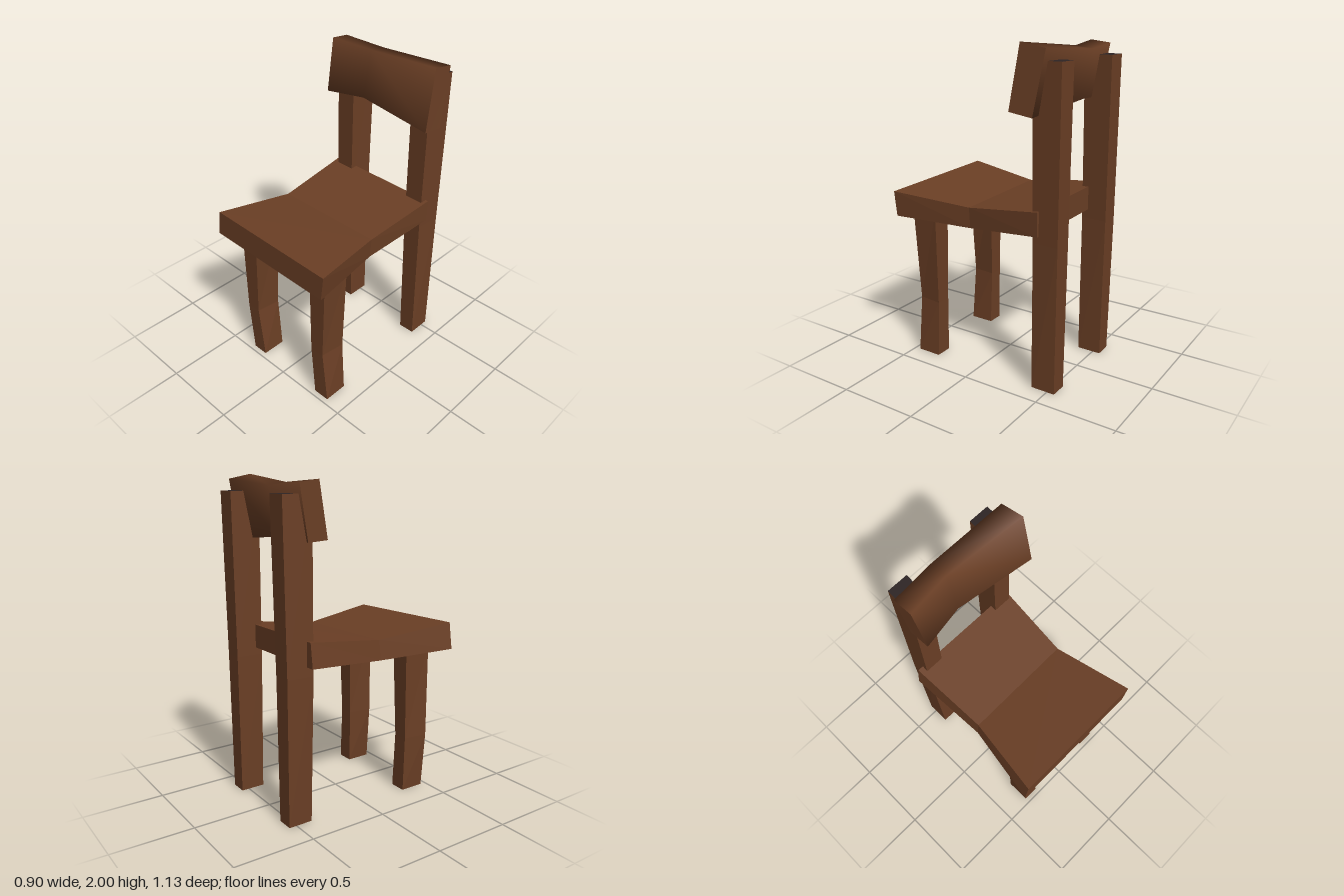
import * as THREE from 'three';

// Skins a list of four-cornered sections; corners run counter-clockwise seen from the last section.
// Group 0 is the sides, group 1 the two end caps.
function loft(sections, smooth) {
  const pts = sections.flat();
  const index = [];
  const last = pts.length - 4;
  for (let s = 0; s < last; s += 4) {
    for (let i = 0; i < 4; i++) {
      const a = s + i, b = s + (i + 1) % 4;
      index.push(a, b, b + 4, a, b + 4, a + 4);
    }
  }
  const sides = index.length;
  // end caps use their own corners so that their edges stay sharp
  const n = pts.length;
  pts.push(...sections[0], ...sections[sections.length - 1]);
  index.push(n, n + 2, n + 1, n, n + 3, n + 2);
  index.push(n + 4, n + 5, n + 6, n + 4, n + 6, n + 7);

  let geo = new THREE.BufferGeometry();
  geo.setAttribute('position', new THREE.Float32BufferAttribute(pts.flat(), 3));
  geo.setIndex(index);
  geo.addGroup(0, sides, 0);
  geo.addGroup(sides, 12, 1);
  if (!smooth) geo = geo.toNonIndexed();
  geo.computeVertexNormals();
  return geo;
}

// Horizontal leg section, its rear edge shifted sideways by skew
const legSection = ([y, x0, x1, front, back, skew]) => [
  [x0, y, front], [x1, y, front], [x1 + skew, y, back], [x0 + skew, y, back],
];

export function createModel() {
  const wood = new THREE.MeshStandardMaterial({ color: 0x6b3f25 });
  wood.name = 'brown wood';
  const endGrain = new THREE.MeshStandardMaterial({ color: 0x2d2424 });
  endGrain.name = 'dark end grain';

  const chair = new THREE.Group();
  chair.name = 'chair';
  const add = (name, geo, caps = wood) => {
    const mesh = new THREE.Mesh(geo, [wood, caps]);
    mesh.name = name;
    chair.add(mesh);
  };

  // Legs: rows of y, x0, x1, front z, back z, skew
  const legs = {
    rightFrontLeg: [
      [0, -0.32, -0.215, 0.465, 0.31, 0.0],
      [0.36, -0.35, -0.255, 0.465, 0.31, 0.02],
      [0.96, -0.34, -0.215, 0.475, 0.3, 0.005],
    ],
    leftFrontLeg: [
      [0, 0.268, 0.375, 0.465, 0.31, 0.0],
      [0.36, 0.242, 0.338, 0.465, 0.31, 0.02],
      [0.96, 0.252, 0.375, 0.475, 0.3, 0.005],
    ],
    rightBackPost: [
      [0, -0.32, -0.215, -0.395, -0.548, 0.0],
      [0.9, -0.345, -0.225, -0.39, -0.555, 0.01],
      [1.905, -0.34, -0.21, -0.385, -0.565, 0.01],
    ],
    leftBackPost: [
      [0, 0.268, 0.375, -0.395, -0.548, 0.0],
      [0.9, 0.248, 0.367, -0.39, -0.555, 0.01],
      [1.905, 0.245, 0.375, -0.385, -0.565, 0.01],
    ],
  };
  for (const [name, rows] of Object.entries(legs)) {
    add(name, loft(rows.map(legSection)), endGrain);
  }

  // Seat: waisted, dipped and slightly lopsided, from back to front
  add('seat', loft([
    [[-0.4, 0.96, -0.43], [0.385, 0.945, -0.43], [0.39, 1.09, -0.43], [-0.38, 1.108, -0.43]],
    [[-0.37, 0.925, 0.07], [0.345, 0.9, 0.06], [0.355, 1.03, 0.06], [-0.355, 1.048, 0.07]],
    [[-0.455, 0.94, 0.565], [0.43, 0.915, 0.562], [0.45, 1.077, 0.562], [-0.43, 1.105, 0.565]],
  ]));

  // Backrest: curved and leaning back, from the right end to the left end
  add('backrest', loft([
    [[-0.345, 1.655, -0.29], [-0.35, 1.648, -0.42], [-0.358, 1.965, -0.475], [-0.355, 1.98, -0.35]],
    [[-0.08, 1.675, -0.33], [-0.08, 1.66, -0.45], [-0.08, 1.945, -0.505], [-0.08, 1.96, -0.39]],
    [[0.44, 1.635, -0.275], [0.435, 1.612, -0.42], [0.42, 1.972, -0.49], [0.43, 2.0, -0.34]],
  ], true));

  return chair;
}
